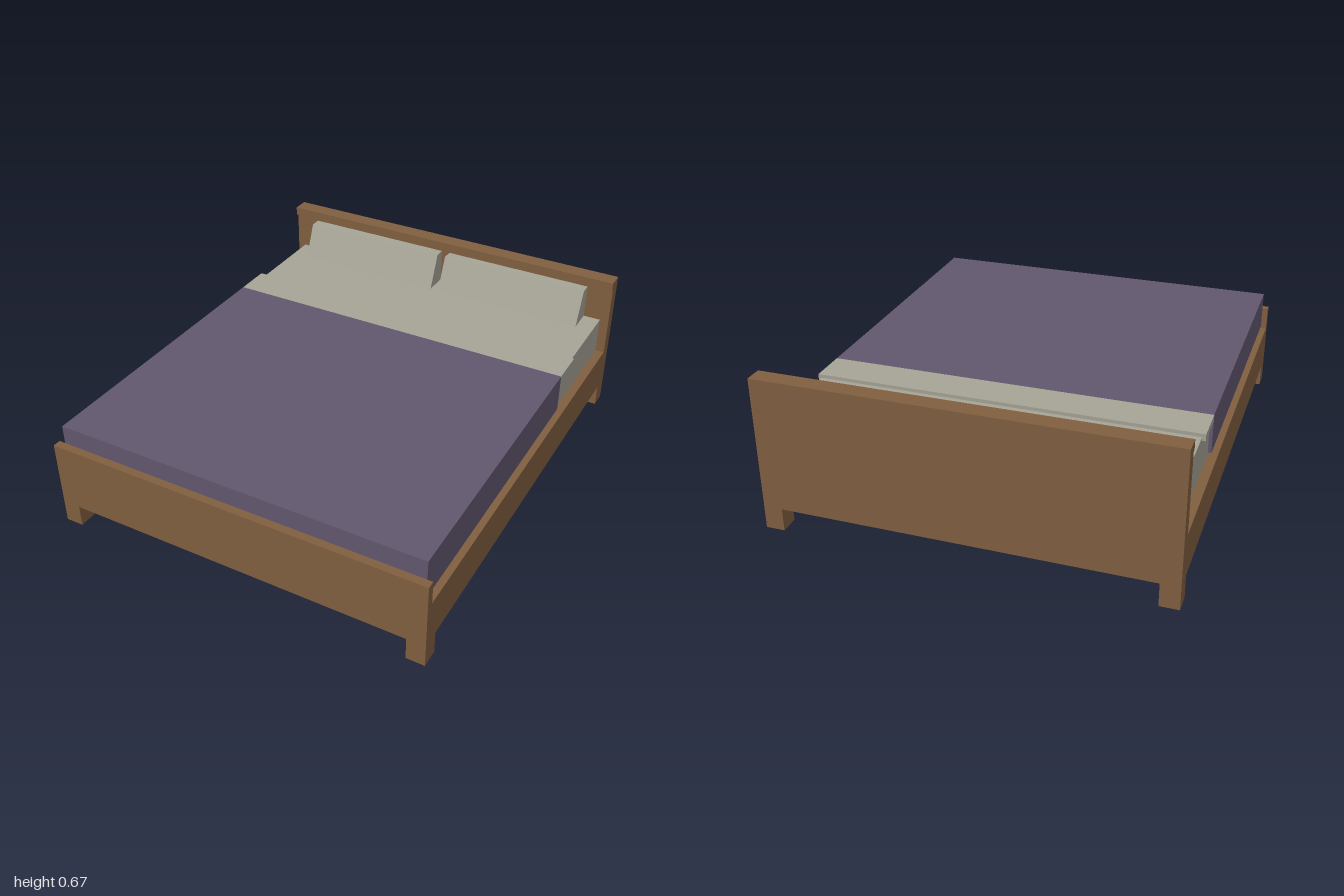
import * as THREE from 'three';

export function createModel() {
  const bed = new THREE.Group();
  bed.name = 'bed';
  const paint = (name, color, side = THREE.FrontSide) => {
    const m = new THREE.MeshStandardMaterial({ color, side });
    m.name = name;
    return m;
  };
  const wood = paint('wood', 0x805f40, THREE.DoubleSide);
  const linen = paint('linen', 0xa6a396);
  const purple = paint('purpleCloth', 0x62576f);

  const add = (name, geometry, material) => {
    const mesh = new THREE.Mesh(geometry, material);
    mesh.name = name;
    bed.add(mesh);
    return mesh;
  };
  // Box from its lower and upper limits, centred on x = 0
  const slab = (name, material, halfX, y0, y1, z0, z1) =>
    add(name, new THREE.BoxGeometry(halfX * 2, y1 - y0, z1 - z0), material)
      .position.set(0, (y0 + y1) / 2, (z0 + z1) / 2);

  // Wooden frame
  slab('base', wood, 0.85, 0.1, 0.29, -0.94, 0.965);
  slab('footboard', wood, 0.85, 0.1, 0.395, 0.965, 1);
  slab('headboard', wood, 0.85, 0.1, 0.63, -1, -0.94);
  slab('headboardCap', wood, 0.85, 0.63, 0.67, -1, -0.925);

  // Square legs, hollow and open underneath
  for (const x of [-0.81, 0.81]) {
    for (const z of [-0.96, 0.96]) {
      const r = 0.04 * Math.SQRT2;
      const leg = new THREE.CylinderGeometry(r, r, 0.1, 4, 1, true).rotateY(Math.PI / 4).toNonIndexed();
      leg.computeVertexNormals();
      add(z > 0 ? 'frontLeg' : 'backLeg', leg, wood).position.set(x, 0.05, z);
    }
  }

  // Bedding
  slab('mattress', linen, 0.81, 0.29, 0.46, -0.938, -0.367);
  slab('blanket', purple, 0.825, 0.302, 0.475, -0.367, 0.96);
  slab('foldedSheet', linen, 0.825, 0.445, 0.475, -0.532, -0.367);

  // Wedge pillows leaning on the headboard; profile is (-z, y)
  const profile = new THREE.Shape([[0.822, 0.46], [0.938, 0.46], [0.938, 0.617], [0.887, 0.617]]
    .map(([a, b]) => new THREE.Vector2(a, b)));
  for (const x of [-0.73, 0.02]) {
    const wedge = new THREE.ExtrudeGeometry(profile, { depth: 0.71, bevelEnabled: false });
    add('pillow', wedge.rotateY(Math.PI / 2), linen).position.x = x;
  }
  return bed;
}
